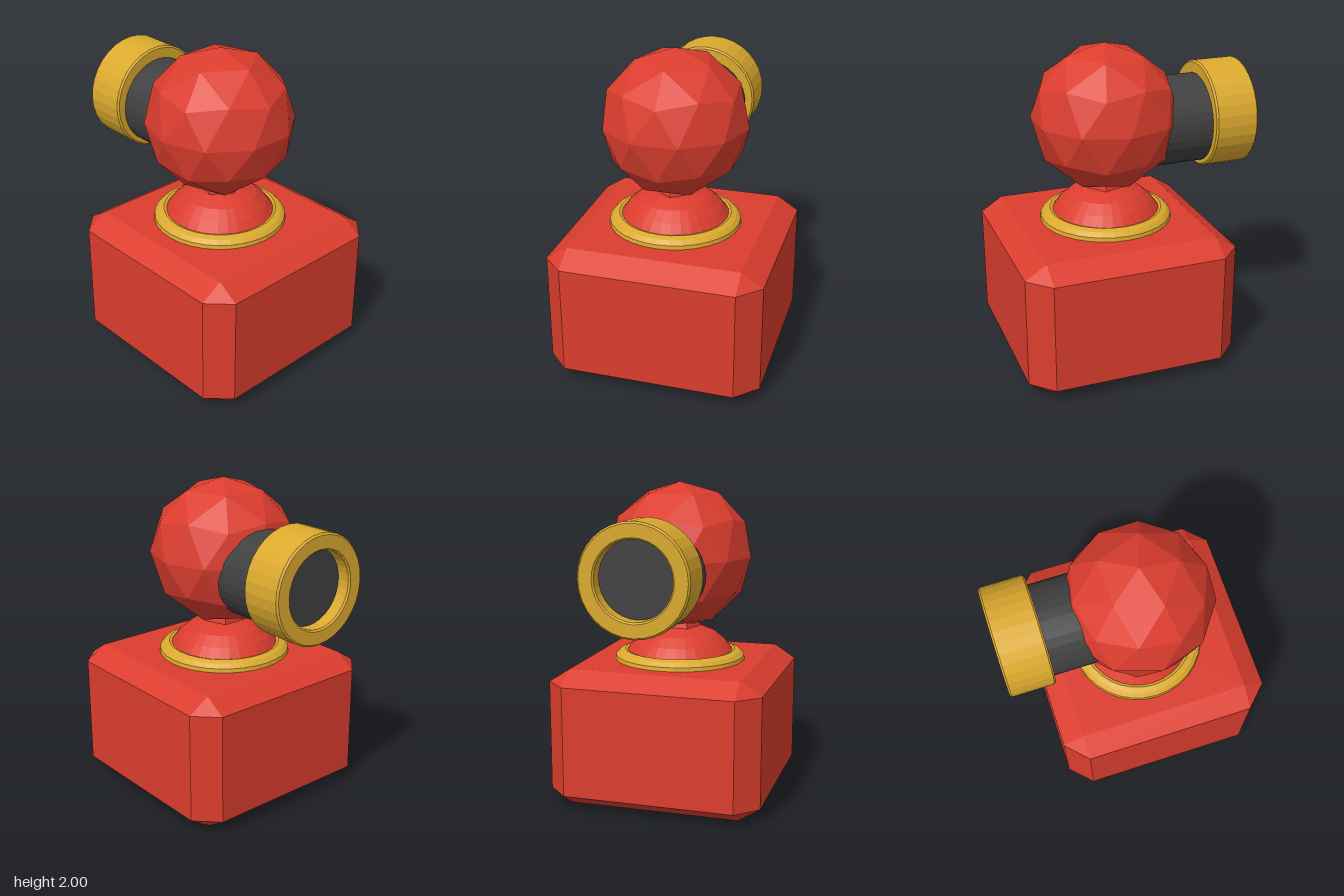
import * as THREE from 'three';
import { ConvexGeometry } from 'three/addons/geometries/ConvexGeometry.js';

const material = (name, color, flatShading = true) => {
  const m = new THREE.MeshStandardMaterial({ color, flatShading });
  m.name = name;
  return m;
};

// Box with all twelve edges and eight corners cut off
function chamferedBox(w, h, d, cutXZ, cutY) {
  const points = [];
  const [x, y, z] = [w / 2, h / 2, d / 2];
  for (const sx of [-1, 1]) for (const sy of [-1, 1]) for (const sz of [-1, 1]) {
    points.push(
      new THREE.Vector3(sx * x, sy * (y - cutY), sz * (z - cutXZ)),
      new THREE.Vector3(sx * (x - cutXZ), sy * y, sz * (z - cutXZ)),
      new THREE.Vector3(sx * (x - cutXZ), sy * (y - cutY), sz * z));
  }
  return new ConvexGeometry(points);
}

const lathe = (points, sides) =>
  new THREE.LatheGeometry(points.map(([r, y]) => new THREE.Vector2(r, y)), sides);

export function createModel() {
  const red = material('red', 0xdb3d2e);
  const gold = material('gold', 0xdba92e);
  const dark = material('dark grey', 0x404040);
  const model = new THREE.Group();
  const add = (name, geometry, mat, x, y, z) => {
    const mesh = new THREE.Mesh(geometry, mat);
    mesh.name = name;
    mesh.position.set(x, y, z);
    model.add(mesh);
    return mesh;
  };
  const cx = 0.092, cz = 0.02;

  // Base block
  add('base', chamferedBox(1.35, 0.87, 1.35, 0.135, 0.087), red, 0.11, 0.435, 0);

  // Gold collar and domed mount
  add('collar', lathe([[0.42, 0.86], [0.415, 0.895], [0.39, 0.92], [0.355, 0.933],
    [0.33, 0.925], [0.31, 0.895], [0.3, 0.86]], 32), gold, cx, 0, cz);
  add('dome', lathe([[0.345, 0.86], [0.34, 0.925], [0.295, 0.985], [0.23, 1.04],
    [0.14, 1.078], [0, 1.085]], 32), red, cx, 0, cz);

  // Small faceted neck
  add('neck', new THREE.CylinderGeometry(0.11, 0.145, 0.1, 5), red, cx, 1.09, cz)
    .rotation.y = Math.PI / 2;

  // Faceted head, turned so that one corner points straight up
  const head = new THREE.IcosahedronGeometry(0.463, 1);
  head.rotateZ(-Math.atan(2 / (1 + Math.sqrt(5))));
  add('head', head, red, cx, 1.537, 0.018);

  // Barrel, lying along x; its outer end closes the muzzle opening
  const barrel = new THREE.CylinderGeometry(0.28, 0.28, 0.68, 32).rotateZ(Math.PI / 2);
  add('barrel', barrel, dark, -0.36, 1.47, 0);

  // Muzzle ring with a round opening, edges slightly bevelled
  const ring = lathe([[0.235, -0.14], [0.325, -0.14], [0.336, -0.129], [0.336, 0.129],
    [0.325, 0.14], [0.245, 0.14], [0.235, 0.13], [0.235, -0.14]], 32);
  ring.rotateZ(Math.PI / 2);
  add('muzzleRing', ring, gold, -0.649, 1.492, 0);

  return model;
}
